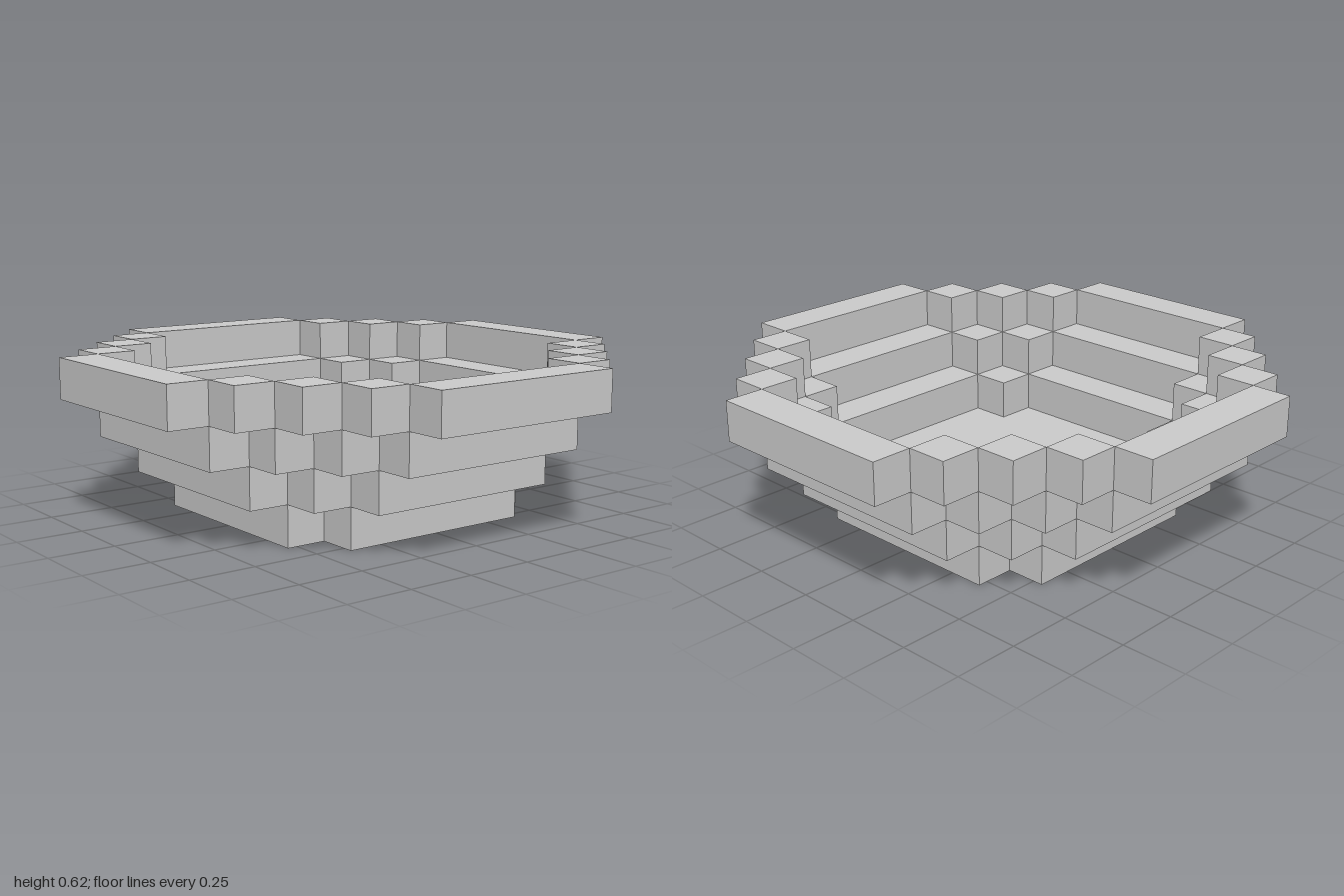
import * as THREE from 'three';

const U = 2 / 13; // one block
const material = new THREE.MeshStandardMaterial({ color: 0xcccccc, flatShading: true });

// Box sized and placed in block units, resting on the given layer
function block(name, w, d, x, layer, z) {
  const mesh = new THREE.Mesh(new THREE.BoxGeometry(w * U, U, d * U), material);
  mesh.name = name;
  mesh.position.set(x * U, (layer + 0.5) * U, z * U);
  return mesh;
}

// Square base slab with one block notched out of each corner
function createFloor() {
  const a = 2.5 * U, b = 3.5 * U;
  const outline = [];
  for (let q = 0; q < 4; q++) {
    for (const [x, y] of [[b, -a], [b, a], [a, a]]) {
      outline.push(new THREE.Vector2(x, y).rotateAround(new THREE.Vector2(), q * Math.PI / 2));
    }
  }
  const geometry = new THREE.ExtrudeGeometry(new THREE.Shape(outline), { depth: U, bevelEnabled: false });
  geometry.rotateX(-Math.PI / 2);
  const floor = new THREE.Mesh(geometry, material);
  floor.name = 'floor';
  return floor;
}

// One-block-thick ring: four straight walls joined by diagonal runs of cubes
function createRing(layer) {
  const ring = new THREE.Group();
  ring.name = `wallRing${layer}`;
  const r = layer + 3;
  for (const s of [-1, 1]) {
    ring.add(block('sideWall', 1, 5, s * r, layer, 0));
    ring.add(block(s > 0 ? 'frontWall' : 'backWall', 5, 1, 0, layer, s * r));
    for (const t of [-1, 1]) {
      for (let i = 3; i < r; i++) {
        ring.add(block('cornerBlock', 1, 1, s * i, layer, t * (r + 2 - i)));
      }
    }
  }
  return ring;
}

export function createModel() {
  const bowl = new THREE.Group();
  bowl.name = 'steppedBowl';
  bowl.add(createFloor());
  for (let layer = 1; layer <= 3; layer++) bowl.add(createRing(layer));
  return bowl;
}
